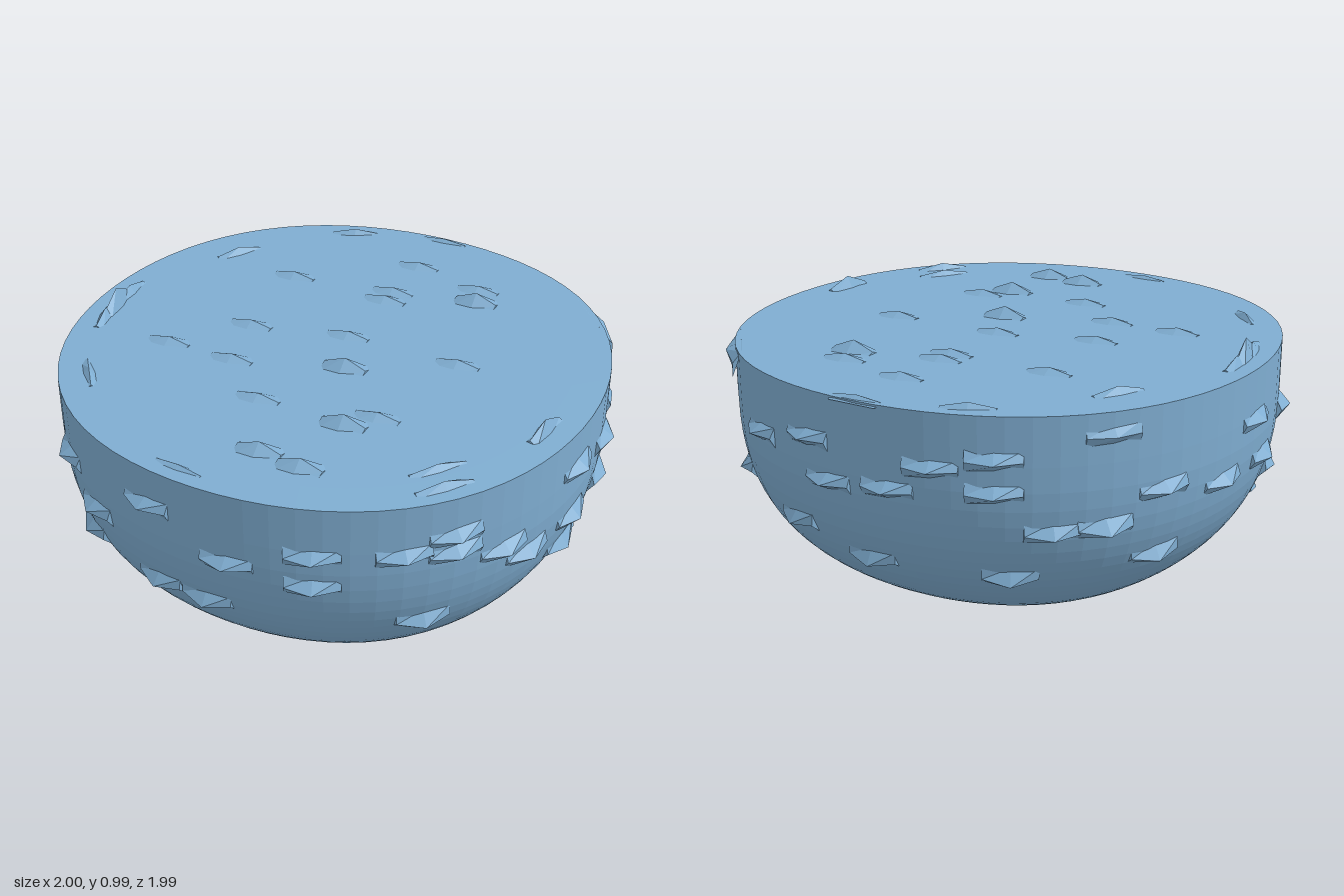
import * as THREE from 'three';
import { mergeGeometries } from 'three/addons/utils/BufferGeometryUtils.js';

const R = 0.96, SHOULDER = 0.75, TOP = 0.917, P = 2.5;

// Radius of the rounded shell at a given height
function radiusAt(y) {
  if (y >= SHOULDER) return R;
  return R * Math.pow(1 - Math.pow((SHOULDER - y) / SHOULDER, P), 1 / P);
}

// The plan is slightly squared: a little wider on the diagonals
const bulge = a => 1 + 0.0128 * (1 - Math.cos(4 * a));

// Ridged nub with closed ends, highest in the middle, placed along the surface normal
function nub(pos, normal, tangent, w, d, h) {
  const g = new THREE.PlaneGeometry(4, 2, 4, 2);
  const p = g.attributes.position;
  for (let i = 0; i < p.count; i++) {
    const col = Math.round(p.getX(i)), row = Math.round(p.getY(i));
    const rise = row !== 0 || Math.abs(col) === 2 ? -0.01 : col === 0 ? h : h * 0.2;
    p.setXYZ(i, Math.sign(col) * w / 2, row * d / 2, rise);
  }
  const up = new THREE.Vector3().crossVectors(normal, tangent);
  return g.applyMatrix4(new THREE.Matrix4().makeBasis(tangent, up, normal).setPosition(pos));
}

export function createModel() {
  const model = new THREE.Group();
  const mat = new THREE.MeshStandardMaterial({ color: 0x7fadd1, flatShading: true, side: THREE.DoubleSide });
  function add(name, geometry) {
    const m = new THREE.Mesh(geometry, mat);
    m.name = name;
    model.add(m);
  }

  // Bowl-shaped body with a flat top
  const profile = [];
  for (let i = 0; i <= 28; i++) {
    const t = (i / 28) ** 1.2 * Math.PI / 2;
    profile.push(new THREE.Vector2(
      R * Math.pow(Math.sin(t), 2 / P),
      SHOULDER * (1 - Math.pow(Math.max(0, Math.cos(t)), 2 / P))));
  }
  for (const [r, y] of [[R, TOP], [0.84, TOP], [0, TOP]]) profile.push(new THREE.Vector2(r, y));
  const body = new THREE.LatheGeometry(profile, 72);
  const p = body.attributes.position;
  for (let i = 0; i < p.count; i++) {
    const f = bulge(Math.atan2(p.getX(i), p.getZ(i)));
    p.setXYZ(i, p.getX(i) * f, p.getY(i), p.getZ(i) * f);
  }
  add('body', body);

  // Side nubs: [angle from the front towards +x in degrees, height, rise]
  const sides = [
    [-12, 0.775], [23, 0.73], [-40, 0.72], [6, 0.65], [-29, 0.61], [23, 0.61],
    [-12, 0.445], [0, 0.445], [-36, 0.445], [45, 0.425], [-62, 0.335],
    [50, 0.775], [50, 0.71], [40, 0.73], [61, 0.65], [68, 0.575],
    [84, 0.775], [84, 0.575], [84, 0.445], [101, 0.725], [118, 0.725, 0.025],
    [104, 0.54], [102, 0.325], [112, 0.48], [118, 0.48], [134, 0.475],
    [152, 0.7], [160, 0.42], [168, 0.755], [173, 0.62], [180, 0.35],
    [187, 0.64], [196, 0.73], [208, 0.77], [208, 0.66], [211, 0.34],
    [219, 0.52], [229, 0.53, 0.06], [230, 0.84, 0.025], [241, 0.63], [242, 0.38],
    [258, 0.58], [270, 0.74], [276, 0.58], [294, 0.67], [293, 0.45],
  ];
  add('sideNubs', mergeGeometries(sides.map(([deg, y, h = 0.043]) => {
    const a = deg * Math.PI / 180, r = radiusAt(y) * bulge(a);
    const slope = (radiusAt(y + 0.01) - radiusAt(y - 0.01)) / 0.02;
    const normal = new THREE.Vector3(Math.sin(a), -slope, Math.cos(a)).normalize();
    return nub(new THREE.Vector3(r * Math.sin(a), y, r * Math.cos(a)), normal,
      new THREE.Vector3(Math.cos(a), 0, -Math.sin(a)), 0.185, 0.07, h);
  })));

  // Nubs on the flat top: [x, z, rise]
  const UP = new THREE.Vector3(0, 1, 0);
  const tops = [
    [0, -0.69, 0.02], [0, -0.46, 0.02], [0, -0.39, 0.02], [0.28, -0.62, 0.02], [0.31, -0.53, 0.04],
    [-0.39, -0.4, 0.02], [0.43, -0.09, 0.02], [0, -0.09, 0.02], [-0.35, 0, 0.02],
    [0.09, 0.11, 0.04], [-0.55, 0.24, 0.02], [-0.29, 0.24, 0.02], [0.33, 0.34, 0.02],
    [-0.08, 0.42, 0.02], [0.25, 0.43, 0.04], [0.08, 0.69, 0.035], [0.24, 0.71, 0.035],
  ];
  add('topNubs', mergeGeometries(tops.map(([x, z, h]) =>
    nub(new THREE.Vector3(x, TOP, z), UP, new THREE.Vector3(1, 0, 0), 0.16, 0.11, h))));

  // Narrow nubs following the rim: [x, z, length, rise]
  const rims = [
    [-0.35, -0.835, 0.18, 0.02], [0, -0.935, 0.18, 0.012], [-0.68, -0.47, 0.18, 0.025],
    [-0.88, 0, 0.18, 0.03], [-0.87, 0.1, 0.2, 0.068], [-0.86, 0.19, 0.18, 0.03],
    [-0.68, 0.55, 0.18, 0.02], [-0.1, 0.89, 0.18, 0.012], [0.63, 0.52, 0.2, 0.02],
    [0.69, 0.6, 0.2, 0.025], [0.85, 0.16, 0.18, 0.045],
  ];
  add('rimNubs', mergeGeometries(rims.map(([x, z, len, h]) =>
    nub(new THREE.Vector3(x, TOP, z), UP, new THREE.Vector3(z, 0, -x).normalize(), len, 0.06, h))));

  // Wide nub wrapped over the rim edge at the back
  const a = 131 * Math.PI / 180, r = 0.965 * bulge(a);
  add('rimEdgeNub', nub(new THREE.Vector3(r * Math.sin(a), 0.875, r * Math.cos(a)),
    new THREE.Vector3(Math.sin(a), 0.4, Math.cos(a)).normalize(),
    new THREE.Vector3(Math.cos(a), 0, -Math.sin(a)), 0.28, 0.1, 0.03));

  return model;
}
